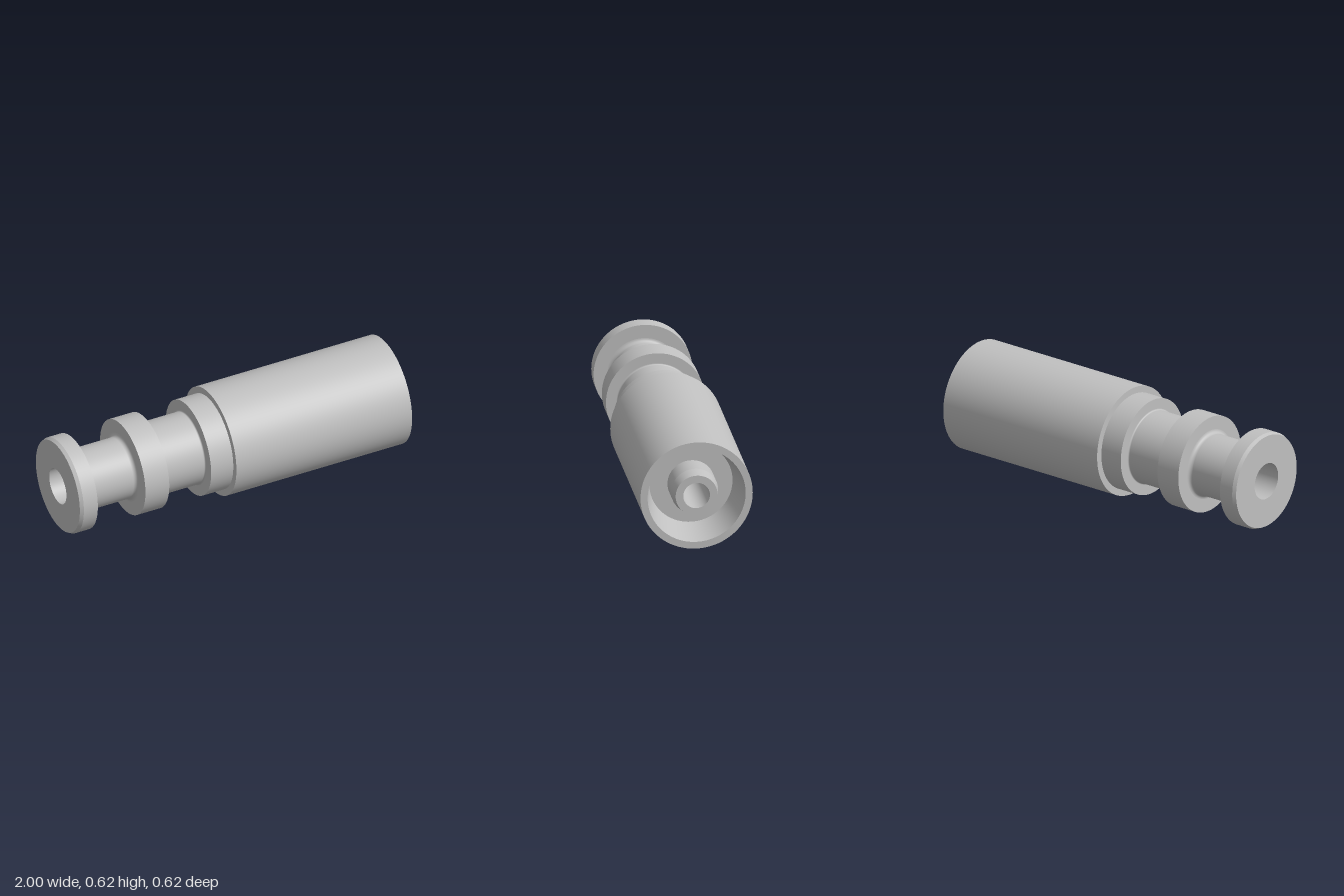
import * as THREE from 'three';

const AXIS_Y = 0.308;

// Quarter-round fillet points about (r, x), from angle a0 to a1 in degrees
function arc(r, x, rad, a0, a1, n = 6) {
  return Array.from({ length: n + 1 }, (_, i) => {
    const a = THREE.MathUtils.degToRad(a0 + (a1 - a0) * i / n);
    return [r + rad * Math.cos(a), x + rad * Math.sin(a)];
  });
}

// Waisted neck with a concave fillet at each end
function neck(r, x0, x1, f) {
  return [...arc(r + f, x0 + f, f, 270, 180), ...arc(r + f, x1 - f, f, 180, 90)];
}

export function createModel() {
  const group = new THREE.Group();
  group.name = 'turnedFitting';
  const steel = new THREE.MeshStandardMaterial({ color: 0xc0c0c0 });
  steel.name = 'grey metal';

  // Each run of [radius, x] is smooth; separate runs meet at a crisp edge
  function part(name, ...runs) {
    const g = new THREE.Group();
    g.name = name;
    runs.forEach((run, i) => {
      const pts = run.map(([r, x]) => new THREE.Vector2(r, x));
      const mesh = new THREE.Mesh(new THREE.LatheGeometry(pts, 96), steel);
      mesh.name = `${name}Face${i + 1}`;
      mesh.rotation.z = -Math.PI / 2;
      g.add(mesh);
    });
    group.add(g);
  }

  // Outside, from the left end to the mouth
  part('endFlange',
    [[0.102, -1], [0.262, -1]],
    [[0.262, -1], [0.271, -0.98]],
    [[0.271, -0.98], [0.271, -0.895]],
    [[0.271, -0.895], [0.195, -0.895]]);
  part('longNeck', neck(0.173, -0.895, -0.605, 0.022));
  part('middleCollar',
    [[0.195, -0.605], [0.271, -0.605]],
    [[0.271, -0.605], [0.271, -0.46]],
    [[0.271, -0.46], [0.213, -0.46]]);
  part('shortNeck', neck(0.205, -0.46, -0.205, 0.008));
  part('rearCollar',
    [[0.213, -0.205], [0.271, -0.205]],
    [[0.271, -0.205], [0.271, -0.07]]);
  part('sleeve',
    [[0.271, -0.07], [0.308, -0.07]],
    [[0.308, -0.07], [0.308, 1]],
    [[0.308, 1], [0.269, 1]]);

  // Tapered socket with a spigot standing in its centre
  part('socket',
    [[0.269, 1], [0.228, 0.8]],
    [[0.228, 0.8], [0.129, 0.8]]);
  part('spigot',
    [[0.129, 0.8], [0.129, 0.93]],
    [[0.129, 0.93], [0.115, 1]],
    [[0.115, 1], [0.073, 1]]);

  // Through bore, wider at the flange end
  part('bore',
    [[0.073, 1], [0.073, -0.04]],
    [[0.073, -0.04], [0.102, -0.07]],
    [[0.102, -0.07], [0.102, -1]]);

  group.position.y = AXIS_Y;
  const root = new THREE.Group();
  root.name = 'model';
  root.add(group);
  return root;
}
